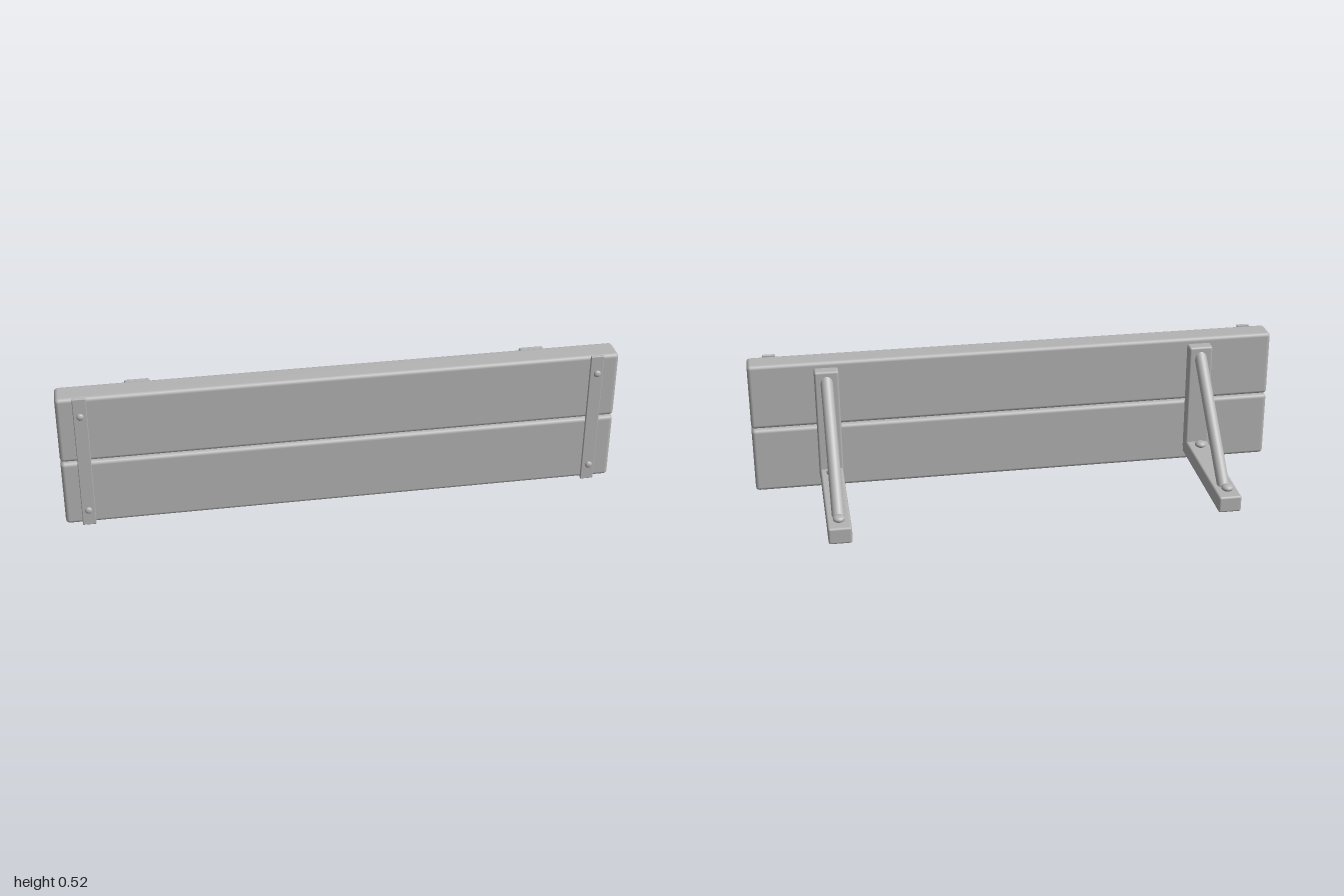
import * as THREE from 'three';
import { RoundedBoxGeometry } from 'three/addons/geometries/RoundedBoxGeometry.js';

export function createModel() {
  const model = new THREE.Group();
  model.name = 'plankBarrier';
  const grey = new THREE.MeshStandardMaterial({ color: 0xb4b4b4 });
  grey.name = 'grey';

  const add = (parent, name, geometry, x, y, z) => {
    const mesh = new THREE.Mesh(geometry, grey);
    mesh.name = name;
    mesh.position.set(x, y, z);
    parent.add(mesh);
    return mesh;
  };
  // Box with softened edges, given by its y and z limits
  const beam = (parent, name, x, width, y0, y1, z0, z1, bevel) =>
    add(parent, name, new RoundedBoxGeometry(width, y1 - y0, z1 - z0, 2, bevel),
      x, (y0 + y1) / 2, (z0 + z1) / 2);
  // Flattened round fastener head
  const dome = (parent, name, x, y, z, rx, ry, rz) =>
    add(parent, name, new THREE.SphereGeometry(1, 20, 12), x, y, z).scale.set(rx, ry, rz);

  // Two long planks
  beam(model, 'lowerPlank', 0, 2, 0.004, 0.258, 0.201, 0.297, 0.014);
  beam(model, 'upperPlank', 0, 2, 0.263, 0.517, 0.201, 0.297, 0.014);

  for (const side of [-1, 1]) {
    const label = side > 0 ? 'left' : 'right';

    // Metal strap with two rivets on the front
    const strap = new THREE.Group();
    strap.name = label + 'Strap';
    model.add(strap);
    const sx = side * 0.917;
    beam(strap, 'strapPlate', sx, 0.048, 0.001, 0.52, 0.296, 0.307, 0.003);
    for (const y of [0.068, 0.454]) dome(strap, 'rivet', sx, y, 0.315, 0.013, 0.013, 0.008);

    // Triangular support behind the planks
    const support = new THREE.Group();
    support.name = label + 'Support';
    model.add(support);
    const x = side * 0.712;
    beam(support, 'post', x, 0.09, 0.057, 0.497, 0.153, 0.201, 0.008);
    beam(support, 'foot', x, 0.085, 0.037, 0.1, -0.322, 0.206, 0.008);
    for (const z of [0.1, -0.272]) dome(support, 'bolt', x, 0.114, z, 0.022, 0.013, 0.022);

    // Diagonal round brace, its ends sunk into the post and foot
    const top = new THREE.Vector3(x, 0.466, 0.173);
    const bottom = new THREE.Vector3(x, 0.078, -0.241);
    const dir = top.clone().sub(bottom);
    const mid = top.clone().add(bottom).multiplyScalar(0.5);
    const brace = add(support, 'brace',
      new THREE.CylinderGeometry(0.023, 0.023, dir.length(), 24), mid.x, mid.y, mid.z);
    brace.quaternion.setFromUnitVectors(new THREE.Vector3(0, 1, 0), dir.normalize());
  }
  return model;
}
